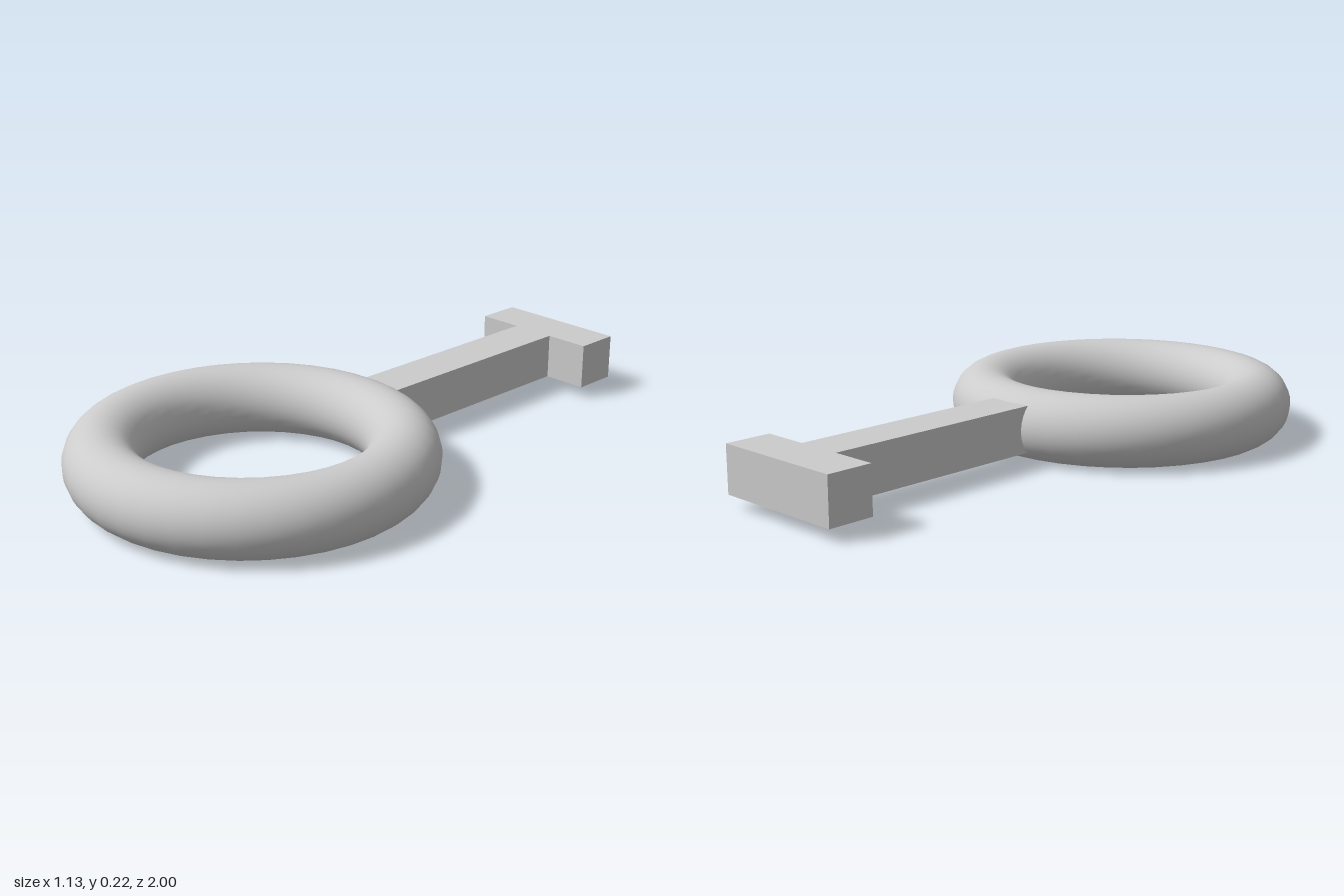
import * as THREE from 'three';

export function createModel() {
  const group = new THREE.Group();
  const material = new THREE.MeshStandardMaterial({ color: 0xcccccc });
  const midY = 0.1125;

  const add = (name, geometry, y, z) => {
    const mesh = new THREE.Mesh(geometry, material);
    mesh.name = name;
    mesh.position.set(0, y, z);
    group.add(mesh);
    return mesh;
  };

  // Smooth ring lying flat
  const ring = new THREE.TorusGeometry(0.4525, 0.1125, 32, 40);
  ring.rotateX(Math.PI / 2);
  add('ring', ring, midY, 0.435);

  // T-shaped bar: stem sunk into the ring, crosspiece at the back
  const outline = [[-0.075, 0], [0.075, 0], [0.075, 0.85], [0.225, 0.85],
    [0.225, 1], [-0.225, 1], [-0.225, 0.85], [-0.075, 0.85]];
  const shape = new THREE.Shape(outline.map(([x, y]) => new THREE.Vector2(x, y)));
  const bar = new THREE.ExtrudeGeometry(shape, { depth: 0.15, bevelEnabled: false });
  bar.translate(0, 0, -0.075);
  bar.rotateX(-Math.PI / 2);
  add('toggleBar', bar, midY + 0.002, 0);

  return group;
}
